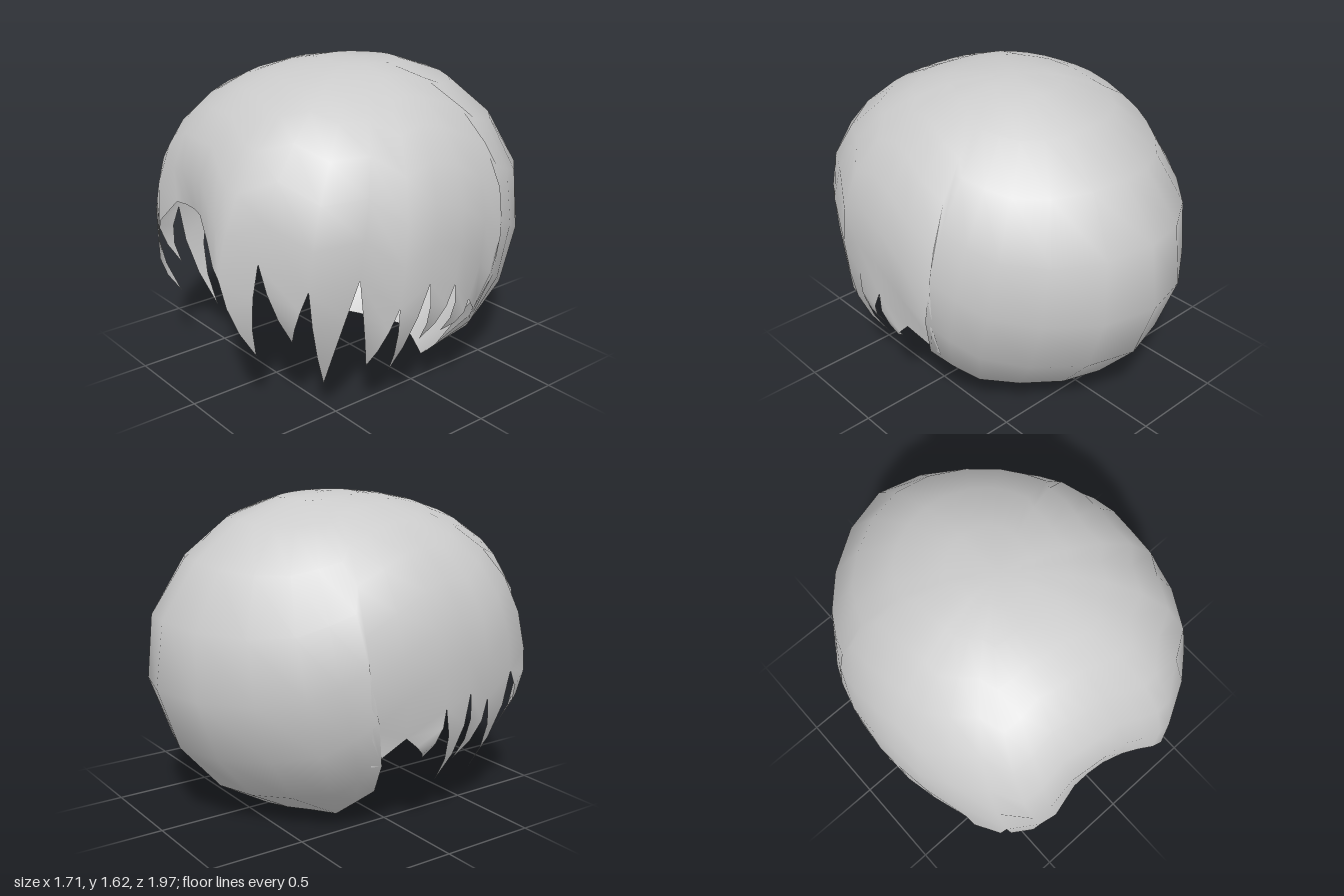
import * as THREE from 'three';
import { mergeGeometries, mergeVertices } from 'three/addons/utils/BufferGeometryUtils.js';

const CENTRE_Y = 0.85;
const RINGS = 8;
const LOCK_ROWS = 3;

// Hem points of each side from front to back. A second entry is the tip of the
// lock that hangs between this point and the next one.
const leftHem = [
  [[0, 0.98, 0.91]], [[0.1, 0.89, 0.94]], [[0.19, 0.79, 0.97]],
  [[0.25, 0.75, 0.98], [0.3, 0.33, 0.82]],
  [[0.43, 0.86, 0.88], [0.44, 0.42, 0.71]],
  [[0.6, 0.74, 0.73], [0.47, 0.16, 0.55]],
  [[0.73, 0.79, 0.54], [0.62, 0.27, 0.41]],
  [[0.8, 0.62, 0.36], [0.63, 0.2, 0.28]],
  [[0.84, 0.72, 0.21], [0.73, 0.38, 0.17]],
  [[0.84, 0.67, 0.05], [0.73, 0.38, 0.03]],
  [[0.79, 0.53, -0.1]],
];
const rightHem = [
  [[-0.1, 0.975, 0.88]], [[-0.19, 0.97, 0.87]], [[-0.28, 0.96, 0.87]], [[-0.42, 0.82, 0.9]],
  [[-0.49, 0.68, 0.87], [-0.52, 0.36, 0.74]],
  [[-0.65, 0.81, 0.79], [-0.64, 0.46, 0.66]],
  [[-0.75, 0.74, 0.6], [-0.57, 0.18, 0.49]],
  [[-0.8, 0.64, 0.4], [-0.66, 0.3, 0.3]],
  [[-0.84, 0.7, 0.25], [-0.65, 0.21, 0.2]],
  [[-0.84, 0.65, 0.1], [-0.74, 0.39, 0.04]],
  [[-0.79, 0.53, -0.1]],
];
// Left half of the nape edge, side to back
const nape = [
  [0.7, 0.39, -0.24], [0.56, 0.19, -0.11], [0.47, 0.11, -0.16], [0.36, 0.02, -0.2],
  [0.24, 0.015, -0.27], [0.12, 0.005, -0.34],
];

// Point of the rounded skull shape in a given direction from its centre
function shellPoint(azimuth, polar) {
  const d = new THREE.Vector3().setFromSphericalCoords(1, polar, azimuth);
  const m = d.z > 0 ? 2.4 : 1.75;
  const flat = ((Math.abs(d.x) / 0.86) ** m + (Math.abs(d.z) / (d.z > 0 ? 0.98 : 1)) ** m) ** (1 / m);
  const tall = Math.abs(d.y) / (d.y > 0 ? 0.765 : 0.85);
  const n = 2.3 + (d.y > 0 ? 0.45 : 0.2) * Math.min(d.z, 0);
  return d.multiplyScalar((flat ** n + tall ** n) ** (-1 / n));
}

function surface(positions, index) {
  const geometry = new THREE.BufferGeometry();
  geometry.setAttribute('position', new THREE.Float32BufferAttribute(positions, 3));
  geometry.setIndex(index);
  return geometry;
}

// Cap: columns fan out evenly at the crown and lean towards their hem point
function capGeometry() {
  const left = [...leftHem.map(([p]) => p), ...nape];
  const right = [...rightHem.map(([p]) => p), ...nape.map(([x, y, z]) => [-x, y, z])];
  const hem = [...left, [0, 0, -0.39], ...right.reverse()];
  const positions = [0, CENTRE_Y + 0.765, 0];
  hem.forEach(([x, y, z], c) => {
    const even = c <= left.length
      ? (Math.PI * c) / left.length
      : Math.PI * (1 + (c - left.length) / (right.length + 1));
    const azimuth = (Math.atan2(x, z) + Math.PI * 2) % (Math.PI * 2);
    const end = new THREE.Vector3(x, y - CENTRE_Y, z);
    const polar = Math.acos(end.y / end.length());
    const reach = end.length() / shellPoint(azimuth, polar).length();
    for (let r = 1; r <= RINGS; r++) {
      const t = r / RINGS;
      const p = shellPoint(THREE.MathUtils.lerp(even, azimuth, t), polar * t);
      p.multiplyScalar(THREE.MathUtils.lerp(1, reach, t ** 6));
      positions.push(p.x, p.y + CENTRE_Y, p.z);
    }
  });
  const index = [];
  const at = (col, ring) => 1 + (col % hem.length) * RINGS + ring - 1;
  for (let c = 0; c < hem.length; c++) {
    index.push(0, at(c, 1), at(c + 1, 1));
    for (let r = 1; r < RINGS; r++) {
      index.push(at(c, r), at(c, r + 1), at(c + 1, r + 1));
      index.push(at(c, r), at(c + 1, r + 1), at(c + 1, r));
    }
  }
  return surface(positions, index);
}

// Pointed lock, slightly bowed outwards, hanging between two hem points
function lockGeometry(from, to, tip) {
  const end = new THREE.Vector3(...tip);
  const out = new THREE.Vector3(tip[0], 0, tip[2]).normalize();
  const positions = [];
  const index = [];
  for (let r = 0; r < LOCK_ROWS; r++) {
    const s = r / LOCK_ROWS;
    for (const corner of [from, to]) {
      const p = new THREE.Vector3(...corner).lerp(end, s).addScaledVector(out, 0.16 * s * (1 - s));
      positions.push(p.x, p.y, p.z);
    }
    const a = r * 2;
    if (r < LOCK_ROWS - 1) index.push(a, a + 2, a + 3, a, a + 3, a + 1);
    else index.push(a, a + 2, a + 1);
  }
  positions.push(...tip);
  return surface(positions, index);
}

export function createModel() {
  // Fringe and side locks grow out of the hem of the cap
  const parts = [capGeometry()];
  leftHem.forEach(([p, tip], i) => {
    if (tip) parts.push(lockGeometry(p, leftHem[i + 1][0], tip));
  });
  rightHem.forEach(([p, tip], i) => {
    if (tip) parts.push(lockGeometry(rightHem[i + 1][0], p, tip));
  });
  const geometry = mergeVertices(mergeGeometries(parts), 0.001);
  geometry.computeVertexNormals();

  const material = new THREE.MeshStandardMaterial({ color: 0xcccccc, side: THREE.DoubleSide });
  const hair = new THREE.Mesh(geometry, material);
  hair.name = 'hairCapWithLocks';
  const group = new THREE.Group();
  group.name = 'hair';
  group.add(hair);
  return group;
}
